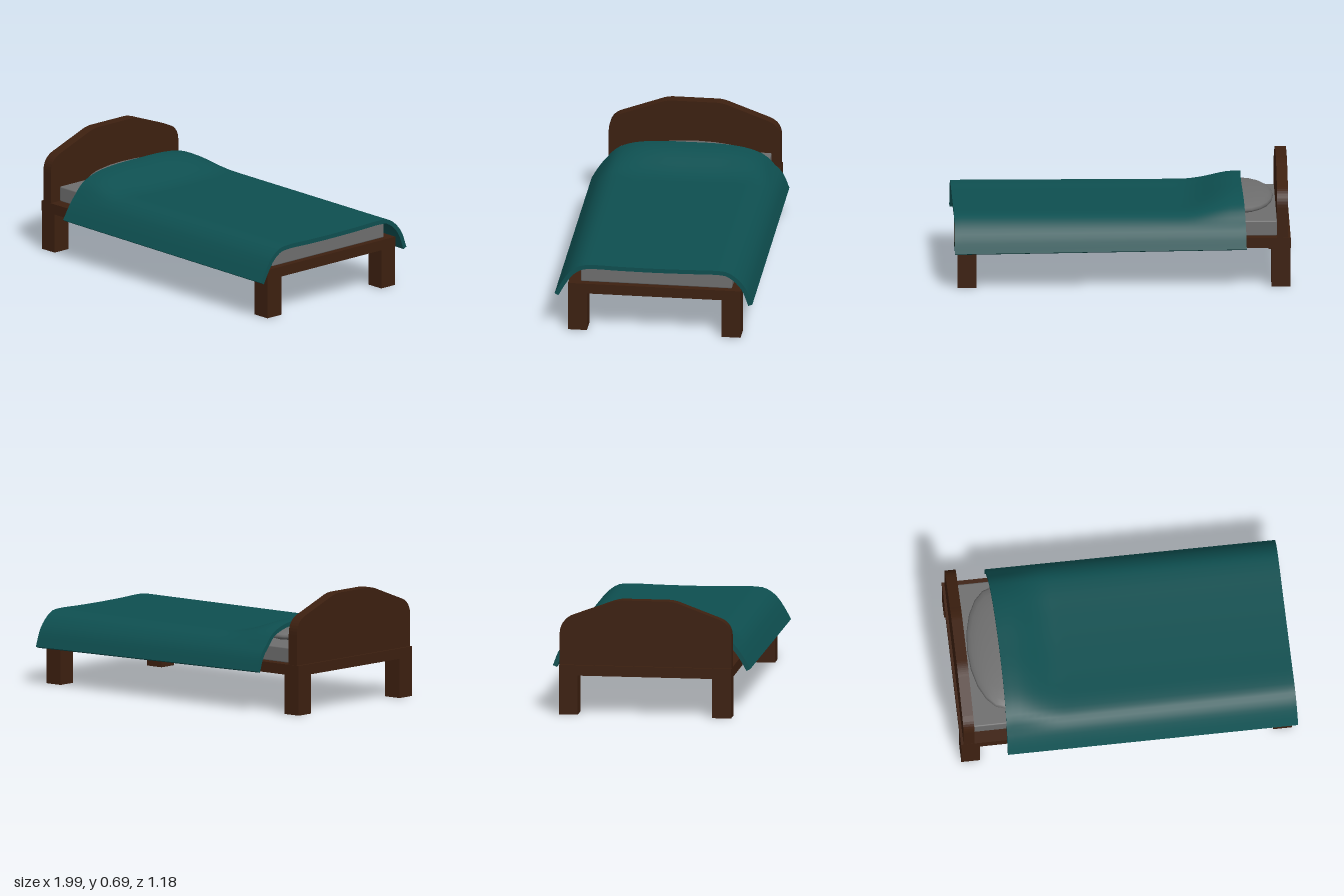
import * as THREE from 'three';
import { RoundedBoxGeometry } from 'three/addons/geometries/RoundedBoxGeometry.js';

const wood = new THREE.MeshStandardMaterial({ color: 0x3d2010 });
const linen = new THREE.MeshStandardMaterial({ color: 0x6e6e6e });
const cloth = new THREE.MeshStandardMaterial({ color: 0x0e4f50 });

function add(group, name, geometry, material, x = 0, y = 0, z = 0) {
  const mesh = new THREE.Mesh(geometry, material);
  mesh.name = name;
  mesh.position.set(x, y, z);
  group.add(mesh);
  return mesh;
}

// Arched headboard: outline in (z, y), extruded along x
function headboardGeometry() {
  const s = new THREE.Shape();
  s.moveTo(-0.513, 0.295);
  s.lineTo(0.511, 0.295);
  s.lineTo(0.511, 0.48);
  s.quadraticCurveTo(0.511, 0.56, 0.44, 0.588);
  s.lineTo(0.22, 0.669);
  s.quadraticCurveTo(0.17, 0.69, 0.13, 0.69);
  s.lineTo(-0.13, 0.69);
  s.quadraticCurveTo(-0.17, 0.69, -0.22, 0.669);
  s.lineTo(-0.44, 0.588);
  s.quadraticCurveTo(-0.513, 0.56, -0.513, 0.48);
  s.closePath();
  const g = new THREE.ExtrudeGeometry(s, { depth: 0.065, bevelEnabled: false, curveSegments: 8 });
  return g.rotateY(-Math.PI / 2);
}

// Draped blanket: a subdivided slab bent along a cross-section and lifted over the pillow
function blanketGeometry() {
  const section = new THREE.CatmullRomCurve3([
    [-0.588, 0.235], [-0.55, 0.33], [-0.5, 0.388], [-0.44, 0.423], [-0.37, 0.43], [-0.2, 0.427], [0, 0.425],
    [0.2, 0.427], [0.37, 0.43], [0.44, 0.42], [0.5, 0.38], [0.545, 0.32], [0.588, 0.245],
  ].map(([z, y]) => new THREE.Vector3(0, y, z)), false, 'centripetal');
  const g = new THREE.BoxGeometry(1, 1, 1, 40, 1, 48);
  const p = g.attributes.position;
  for (let i = 0; i < p.count; i++) {
    const u = p.getX(i) + 0.5;
    const w = p.getZ(i) + 0.5;
    const c = section.getPointAt(w);
    const t = section.getTangentAt(w);
    const depth = p.getY(i) < 0 ? 0.026 : 0;
    // The head edge bows out at both hems, and the whole cloth lies slightly askew
    const x = -0.717 + u * 1.707 - (1 - u) * 0.05 * c.z * c.z + 0.008 * c.z;
    // Swell over the pillow, fading towards the sides and the foot
    const side = Math.max(0, 1 - Math.pow(Math.abs(c.z) / 0.5, 3));
    const swell = 0.092 * (1 - THREE.MathUtils.smoothstep(x, -0.68, -0.36)) * side;
    // The hems hang lower towards the foot, the back one more so
    const hang = Math.max(0, Math.abs(c.z) - 0.42) / 0.168;
    const drop = hang * (u - 0.5) * (c.z < 0 ? 0.022 : 0.012);
    p.setXYZ(i, x, c.y + swell - drop - depth * t.z, c.z + depth * t.y);
  }
  g.computeVertexNormals();
  return g;
}

export function createModel() {
  const bed = new THREE.Group();
  bed.name = 'bed';

  // Bed frame and four legs
  add(bed, 'frame', new THREE.BoxGeometry(1.967, 0.062, 1.027), wood, -0.0165, 0.266, -0.002);
  for (const x of [-0.943, 0.911]) {
    for (const z of [-0.459, 0.455]) {
      add(bed, 'leg', new THREE.BoxGeometry(0.112, 0.236, 0.112), wood, x, 0.118, z);
    }
  }
  add(bed, 'headboard', headboardGeometry(), wood, -0.92, 0, 0);

  // Bedding
  add(bed, 'mattress', new RoundedBoxGeometry(1.85, 0.092, 0.9, 2, 0.008), linen, 0.005, 0.341, -0.01);
  const pillow = add(bed, 'pillow', new THREE.SphereGeometry(1, 20, 12), linen, -0.715, 0.434, -0.02);
  pillow.scale.set(0.19, 0.048, 0.385);
  add(bed, 'blanket', blanketGeometry(), cloth);

  return bed;
}
